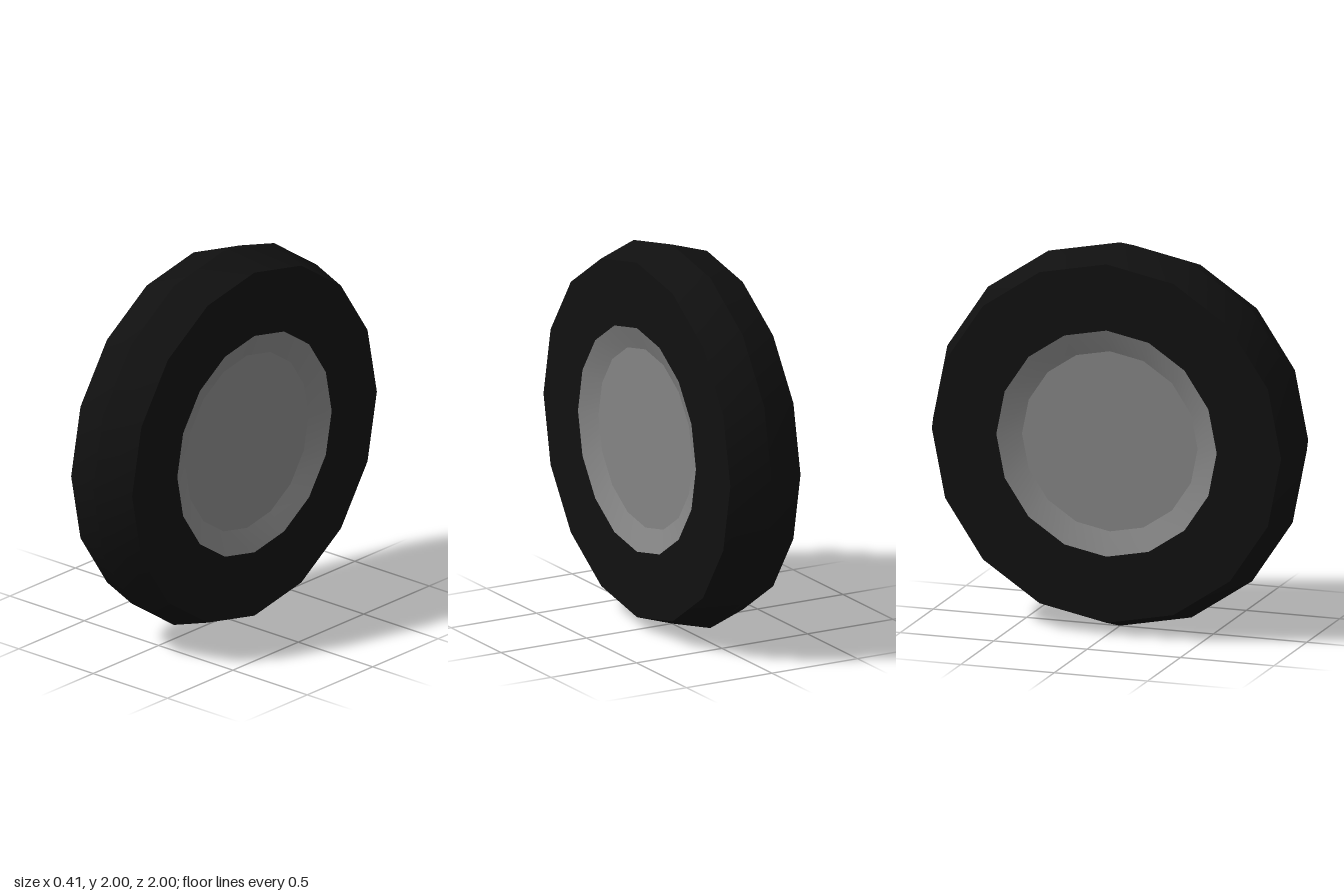
import * as THREE from 'three';
import { toCreasedNormals } from 'three/addons/utils/BufferGeometryUtils.js';

const SIDES = 16;
const HALF_WIDTH = 0.205;
const RIM_RADIUS = 0.59;
const HUB_RADIUS = 0.47;
const HUB_OFFSET = 0.155;

const rubber = new THREE.MeshStandardMaterial({ color: 0x101010 });
rubber.name = 'black rubber';
const metal = new THREE.MeshStandardMaterial({ color: 0x848484 });
metal.name = 'grey metal';

// Revolves [radius, offset] points about the x axis
function revolve(points) {
  const profile = points.map(([r, x]) => new THREE.Vector2(r, x));
  const geometry = new THREE.LatheGeometry(profile, SIDES);
  geometry.rotateZ(-Math.PI / 2);
  return toCreasedNormals(geometry, Math.PI / 6);
}

function addPart(parent, name, geometry, material) {
  const mesh = new THREE.Mesh(geometry, material);
  mesh.name = name;
  parent.add(mesh);
}

export function createModel() {
  const wheel = new THREE.Group();
  wheel.name = 'wheel';
  wheel.position.y = 1;

  // Tyre: flat sidewalls and a tread rising to a central ridge
  addPart(wheel, 'tyre', revolve([
    [RIM_RADIUS, -HALF_WIDTH],
    [0.935, -HALF_WIDTH],
    [1, 0],
    [0.935, HALF_WIDTH],
    [RIM_RADIUS, HALF_WIDTH],
  ]), rubber);

  // Dished rim and flat hub disc on each side
  for (const [side, angle] of [['left', 0], ['right', Math.PI]]) {
    const face = new THREE.Group();
    face.name = side + 'WheelFace';
    face.rotation.y = angle;
    addPart(face, side + 'Rim', revolve([[RIM_RADIUS, HALF_WIDTH], [HUB_RADIUS, HUB_OFFSET]]), metal);
    const disc = new THREE.CircleGeometry(HUB_RADIUS, SIDES).rotateY(Math.PI / 2).translate(HUB_OFFSET, 0, 0);
    addPart(face, side + 'HubDisc', disc, metal);
    wheel.add(face);
  }

  const model = new THREE.Group();
  model.name = 'wheelModel';
  model.add(wheel);
  return model;
}
